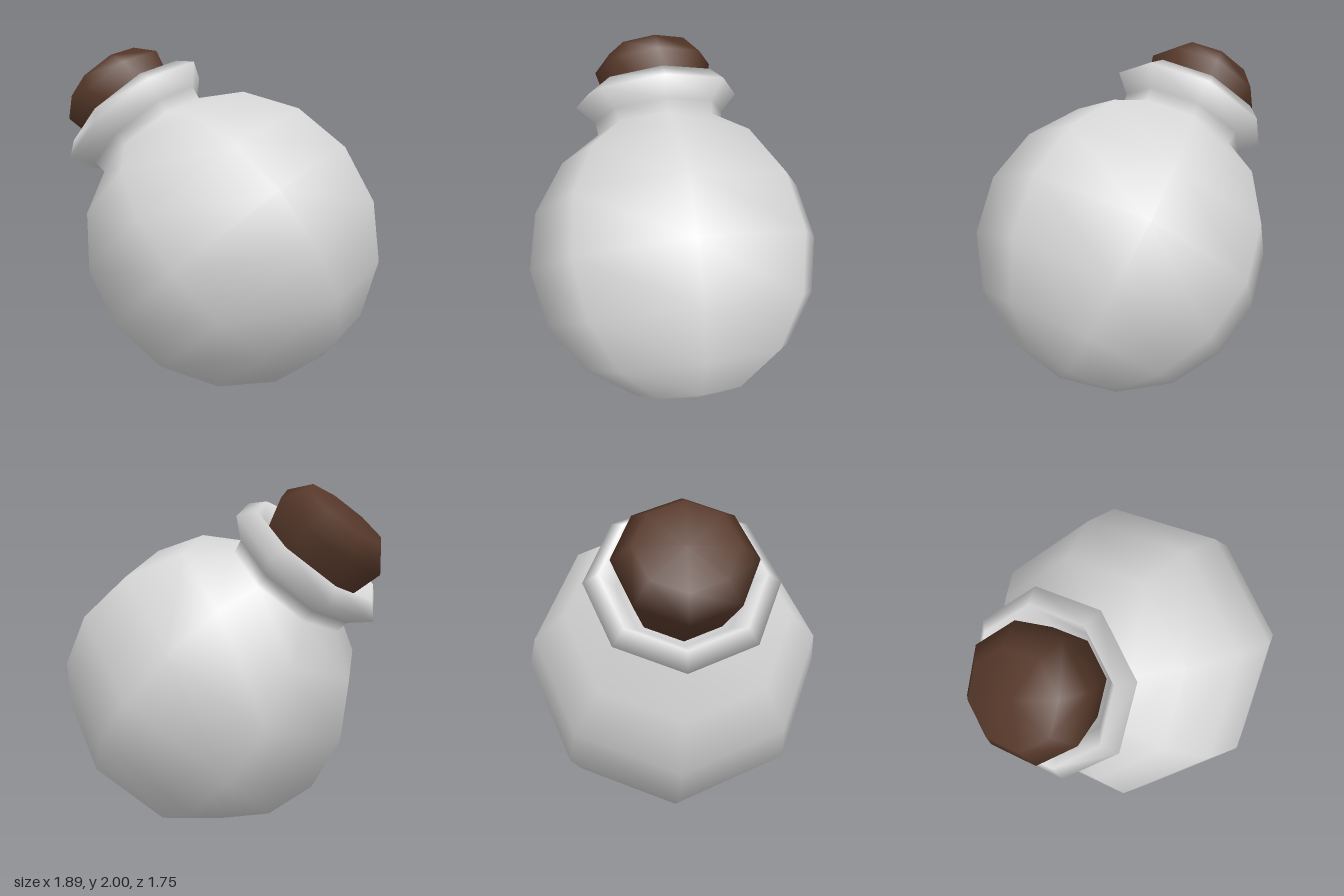
import * as THREE from 'three';
import { mergeVertices } from 'three/addons/utils/BufferGeometryUtils.js';

const SIDES = 8;
const RADIUS = 0.873;

// Eight-sided turned shape with fully smooth normals; profile is [radius, height] pairs
function turned(profile) {
  const points = profile.map(([r, y]) => new THREE.Vector2(r, y));
  let geometry = new THREE.LatheGeometry(points, SIDES);
  geometry.deleteAttribute('uv');
  geometry.deleteAttribute('normal');
  geometry = mergeVertices(geometry, 1e-4);
  geometry.computeVertexNormals();
  return geometry;
}

export function createModel() {
  const glass = new THREE.MeshStandardMaterial({ name: 'pale grey glass', color: 0xd8d8d8 });
  const corkBrown = new THREE.MeshStandardMaterial({ name: 'cork brown', color: 0x56382a });

  const model = new THREE.Group();
  model.name = 'corkedFlask';

  // Everything shares one axis that leans to the flask's right
  const flask = new THREE.Group();
  flask.name = 'tiltedFlask';
  flask.position.set(0.075, 0.873, 0);
  flask.rotation.set(0.018, 0, THREE.MathUtils.degToRad(40.5), 'ZXY');
  model.add(flask);

  // Round belly from the bottom pole up to the shoulder, in 22.5 degree rings
  const profile = [[0, -RADIUS]];
  for (let i = 1; i <= 6; i++) {
    const a = (i * Math.PI) / 8;
    profile.push([RADIUS * Math.sin(a), -RADIUS * Math.cos(a)]);
  }
  // Neck, flared lip and the inside of the mouth
  profile.push([0.383, 0.77], [0.395, 0.847], [0.497, 0.95], [0.415, 1.029], [0.33, 0.9], [0.27, 0.84]);
  const bottle = new THREE.Mesh(turned(profile), glass);
  bottle.name = 'bottle';
  flask.add(bottle);

  // Tapered cork with a bevelled top
  const cork = new THREE.Mesh(
    turned([[0, 0.8], [0.265, 0.8], [0.357, 1.157], [0.256, 1.273], [0, 1.273]]),
    corkBrown
  );
  cork.name = 'cork';
  flask.add(cork);

  return model;
}
